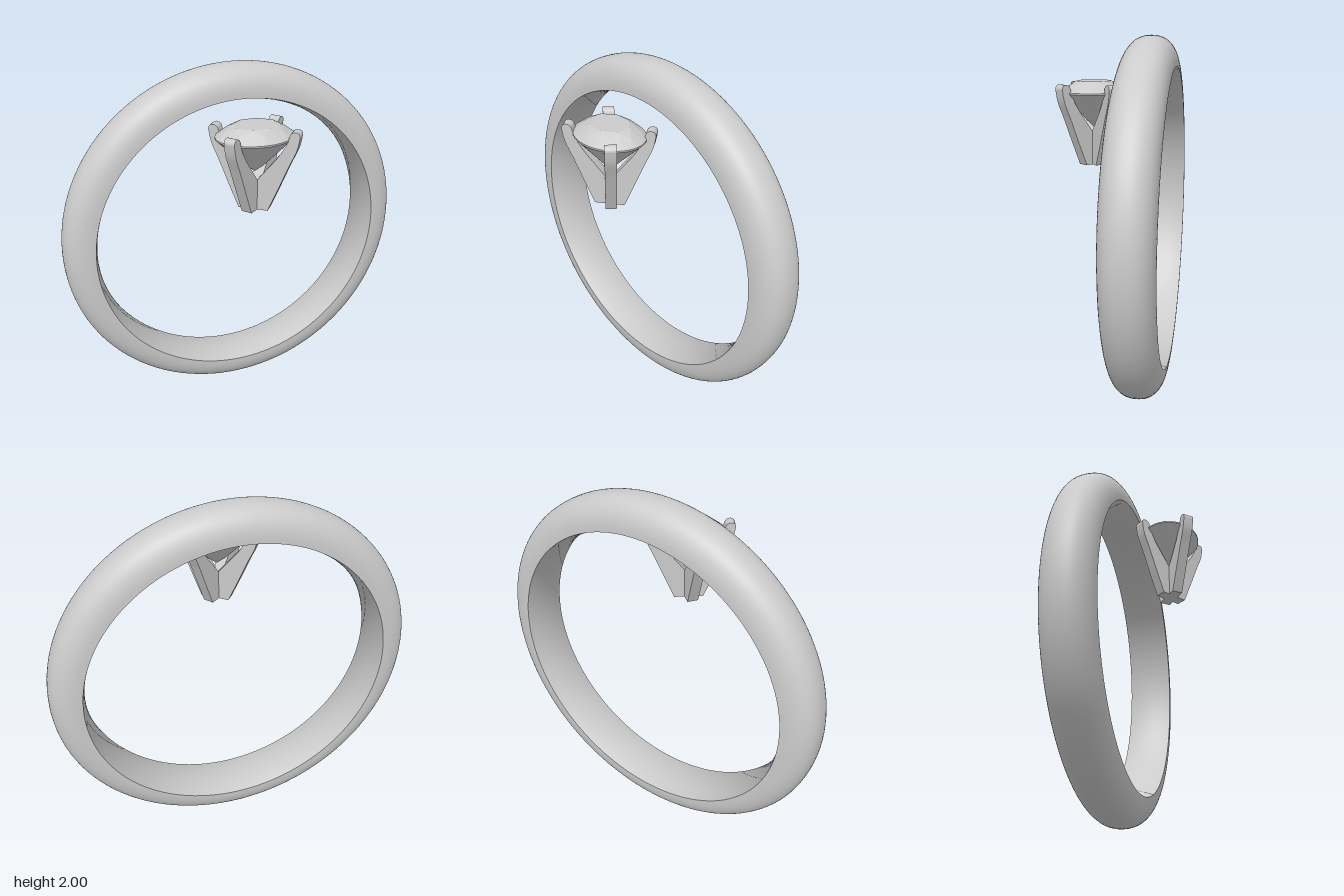
import * as THREE from 'three';
import { toCreasedNormals } from 'three/addons/utils/BufferGeometryUtils.js';
import { ConvexGeometry } from 'three/addons/geometries/ConvexGeometry.js';

const grey = () => new THREE.MeshStandardMaterial({ color: 0xcccccc });

function addMesh(parent, name, geometry, material = grey()) {
  const mesh = new THREE.Mesh(geometry, material);
  mesh.name = name;
  parent.add(mesh);
  return mesh;
}

// Band: domed outer surface and slightly bulging inner surface
function createBand() {
  const band = new THREE.Group();
  band.name = 'band';
  const half = 0.134, edge = 0.835;
  const outer = [], inner = [];
  for (let i = 0; i <= 32; i++) {
    const a = (i / 32) * Math.PI;
    const c = Math.cos(a), s = Math.max(0, Math.sin(a));
    const k = 2 / 2.3;
    outer.push(new THREE.Vector2(edge + 0.163 * s ** k, -half * Math.sign(c) * Math.abs(c) ** k));
  }
  for (let i = 0; i <= 10; i++) {
    const t = 1 - i / 5;
    inner.push(new THREE.Vector2(edge - 0.021 * (1 - t * t), half * t));
  }
  addMesh(band, 'bandOuter', new THREE.LatheGeometry(outer, 128));
  addMesh(band, 'bandInner', new THREE.LatheGeometry(inner, 128));
  band.rotation.x = Math.PI / 2;
  band.position.set(0, 1.002, -0.178);
  return band;
}

// Oval brilliant-cut stone: convex hull of elliptical rings
function createStone() {
  const points = [new THREE.Vector3(0, 1.508, 0)];
  const ring = (count, scale, y, offset = 0) => {
    for (let i = 0; i < count; i++) {
      const a = ((i + offset) / count) * Math.PI * 2;
      points.push(new THREE.Vector3(0.207 * scale * Math.cos(a), y, 0.17 * scale * Math.sin(a)));
    }
  };
  ring(8, 0.57, 1.76, 0.5); // table
  ring(8, 0.78, 1.737); // crown facets
  ring(48, 1, 1.703); // girdle
  ring(48, 1, 1.695);
  ring(8, 0.25, 1.546); // pavilion facets
  return new ConvexGeometry(points);
}

// Prong side outline (distance from the centre, height), extruded to its width
function createProng() {
  const s = new THREE.Shape();
  s.moveTo(0, 1.305);
  s.lineTo(0.08, 1.305);
  s.lineTo(0.133, 1.43);
  s.splineThru([[0.186, 1.56], [0.225, 1.65], [0.24, 1.72]].map(p => new THREE.Vector2(...p)));
  s.bezierCurveTo(0.243, 1.755, 0.188, 1.755, 0.186, 1.72);
  s.splineThru([[0.168, 1.67], [0.131, 1.61], [0.08, 1.545], [0, 1.445]].map(p => new THREE.Vector2(...p)));
  s.closePath();
  const width = 0.06;
  const g = new THREE.ExtrudeGeometry(s, { depth: width, bevelEnabled: false, curveSegments: 8 });
  g.translate(0, 0, -width / 2);
  return toCreasedNormals(g, 0.5);
}

export function createModel() {
  const model = new THREE.Group();
  model.name = 'ring';
  model.add(createBand());

  const setting = new THREE.Group();
  setting.name = 'setting';
  setting.position.z = 0.138;
  model.add(setting);

  const stoneMaterial = grey();
  stoneMaterial.flatShading = true;
  addMesh(setting, 'stone', createStone(), stoneMaterial);

  // Four prongs on the diagonals of the oval
  const prong = createProng();
  const angle = THREE.MathUtils.degToRad(38);
  for (const a of [angle, Math.PI - angle, Math.PI + angle, -angle]) {
    addMesh(setting, 'prong', prong).rotation.y = a;
  }
  return model;
}
